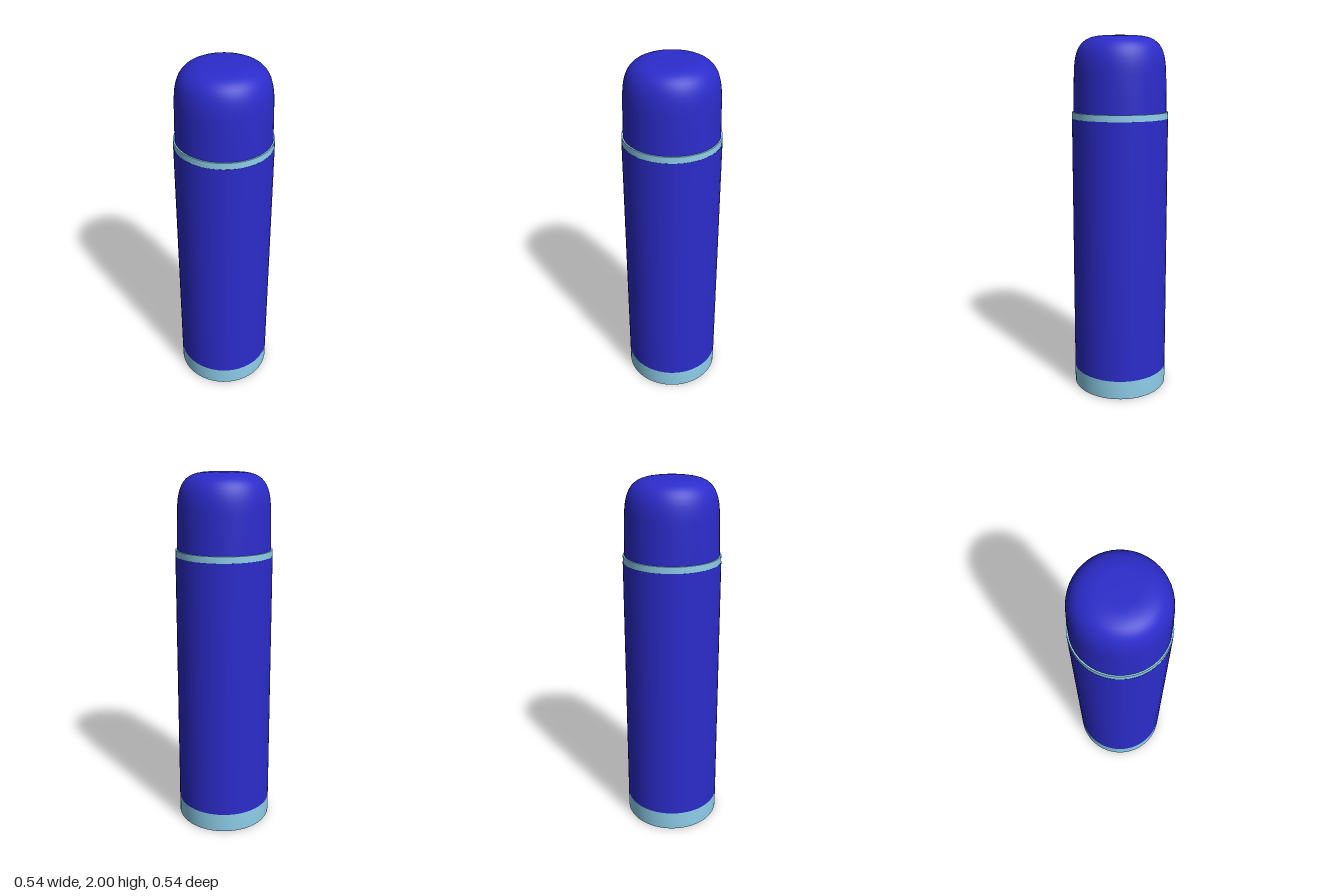
import * as THREE from 'three';

const SEGMENTS = 48;
const BLUE = 0x2c2ccc, PALE = 0x8fd0ec, GREY = 0xcccccc;

export function createModel() {
  const flask = new THREE.Group();
  flask.name = 'vacuumFlask';

  // Every part is turned from a profile of [radius, height], bottom to top
  function turned(name, color, profile) {
    const points = profile.map(([r, y]) => new THREE.Vector2(r, y));
    const mesh = new THREE.Mesh(
      new THREE.LatheGeometry(points, SEGMENTS),
      new THREE.MeshStandardMaterial({ color })
    );
    mesh.name = name;
    flask.add(mesh);
  }

  // Underside and base band
  turned('underside', GREY, [[0, 0], [0.264, 0]]);
  turned('baseBand', PALE, [[0.264, 0], [0.268, 0.006], [0.268, 0.11]]);

  // Slightly tapering body with its narrow shoulder
  turned('body', BLUE, [[0.268, 0.11], [0.264, 1.562]]);
  turned('shoulder', BLUE, [[0.264, 1.562], [0.25, 1.562]]);

  // Pale collar between body and cup
  turned('collar', PALE, [[0.263, 1.562], [0.263, 1.597]]);
  turned('collarTop', PALE, [[0.263, 1.597], [0.25, 1.597]]);

  // Cup: tapered wall running into a rounded, nearly flat crown
  const cup = [[0.255, 1.597], [0.253, 1.7], [0.25, 1.8]];
  const crown = new THREE.CubicBezierCurve(
    new THREE.Vector2(0.25, 1.8), new THREE.Vector2(0.246, 1.94),
    new THREE.Vector2(0.21, 1.995), new THREE.Vector2(0.09, 2)
  );
  crown.getPoints(12).slice(1).forEach((p) => cup.push([p.x, p.y]));
  cup.push([0, 2]);
  turned('cup', BLUE, cup);

  return flask;
}
